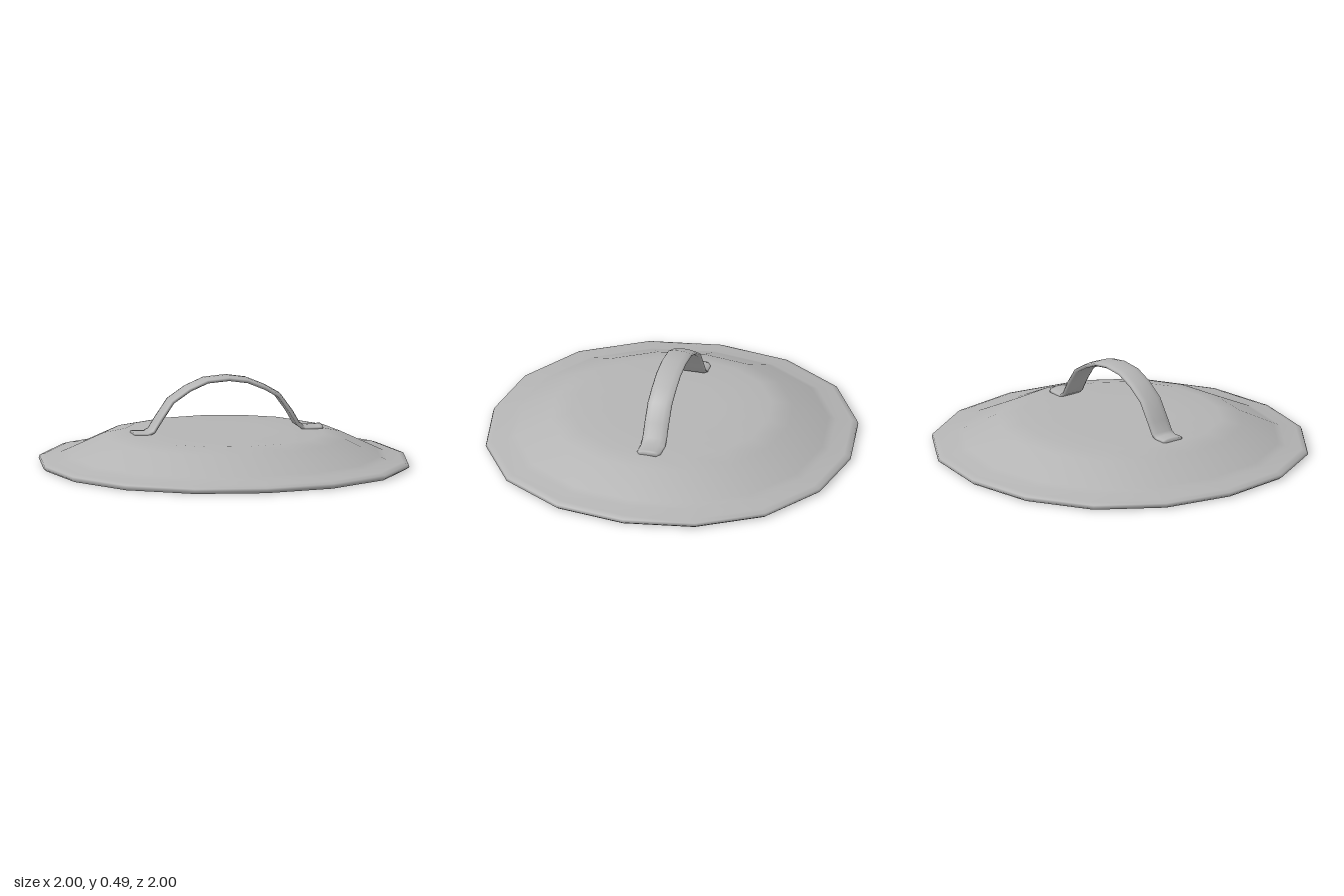
import * as THREE from 'three';
import { mergeVertices } from 'three/addons/utils/BufferGeometryUtils.js';

const metal = new THREE.MeshStandardMaterial({ color: 0xb4b4b4 });
metal.name = 'greyMetal';

// 16-sided turned shape, very slightly squared toward the diagonals
function turned(name, profile) {
  const geo = new THREE.LatheGeometry(profile.map(([r, y]) => new THREE.Vector2(r, y)), 16);
  const pos = geo.attributes.position;
  for (let i = 0; i < pos.count; i++) {
    const x = pos.getX(i), z = pos.getZ(i);
    const k = 1 + 0.0125 * (1 - Math.cos(4 * Math.atan2(z, x)));
    pos.setXYZ(i, x * k, pos.getY(i), z * k);
  }
  geo.deleteAttribute('uv');
  geo.deleteAttribute('normal');
  const smooth = mergeVertices(geo);
  smooth.computeVertexNormals();
  const mesh = new THREE.Mesh(smooth, metal);
  mesh.name = name;
  return mesh;
}

// Strap handle: a domed cross-section swept along an arch with flared feet
function strapHandle() {
  // x, y of the centreline, and width factor
  const path = [
    [-0.505, 0.187, 0.8], [-0.49, 0.187, 0.97], [-0.43, 0.185, 1], [-0.4, 0.2, 1], [-0.365, 0.255, 1],
    [-0.295, 0.358, 1], [-0.2, 0.422, 1], [-0.1, 0.464, 1], [0.02, 0.473, 1], [0.125, 0.457, 1],
    [0.22, 0.417, 1], [0.3, 0.37, 1], [0.365, 0.28, 1], [0.405, 0.21, 1], [0.44, 0.185, 1],
    [0.52, 0.187, 0.97], [0.54, 0.19, 0.8],
  ];
  // z offset and height across the strap
  const section = [
    [0.055, -0.012], [0.068, -0.004], [0.062, 0.006], [0.035, 0.012], [0, 0.014],
    [-0.035, 0.012], [-0.062, 0.006], [-0.068, -0.004], [-0.055, -0.012],
  ];
  const n = section.length, last = path.length - 1;
  const verts = [], index = [];
  path.forEach(([x, y, w], i) => {
    const a = path[Math.max(i - 1, 0)], b = path[Math.min(i + 1, last)];
    const len = Math.hypot(b[0] - a[0], b[1] - a[1]);
    const nx = -(b[1] - a[1]) / len, ny = (b[0] - a[0]) / len;
    for (const [z, h] of section) verts.push(x + nx * h, y + ny * h, -0.015 + z * w);
  });
  for (let i = 0; i < last; i++) {
    for (let j = 0; j < n; j++) {
      const a = i * n + j, b = i * n + (j + 1) % n;
      index.push(a, a + n, b, b, a + n, b + n);
    }
  }
  // End caps
  for (let j = 1; j < n - 1; j++) {
    index.push(0, j, j + 1);
    index.push(last * n, last * n + j + 1, last * n + j);
  }
  const geo = new THREE.BufferGeometry();
  geo.setAttribute('position', new THREE.Float32BufferAttribute(verts, 3));
  geo.setIndex(index);
  geo.computeVertexNormals();
  const mesh = new THREE.Mesh(geo, metal);
  mesh.name = 'handle';
  return mesh;
}

export function createModel() {
  const group = new THREE.Group();
  group.name = 'potLid';
  // Rim, sloping shoulder and flat crown
  group.add(turned('lidTop', [
    [0.985, 0], [1, 0.012], [0.995, 0.027], [0.965, 0.037], [0.88, 0.048], [0.84, 0.066],
    [0.65, 0.157], [0.535, 0.183], [0.3, 0.185], [0, 0.185],
  ]));
  group.add(turned('underside', [[0, 0], [0.985, 0]]));
  group.add(strapHandle());
  return group;
}
